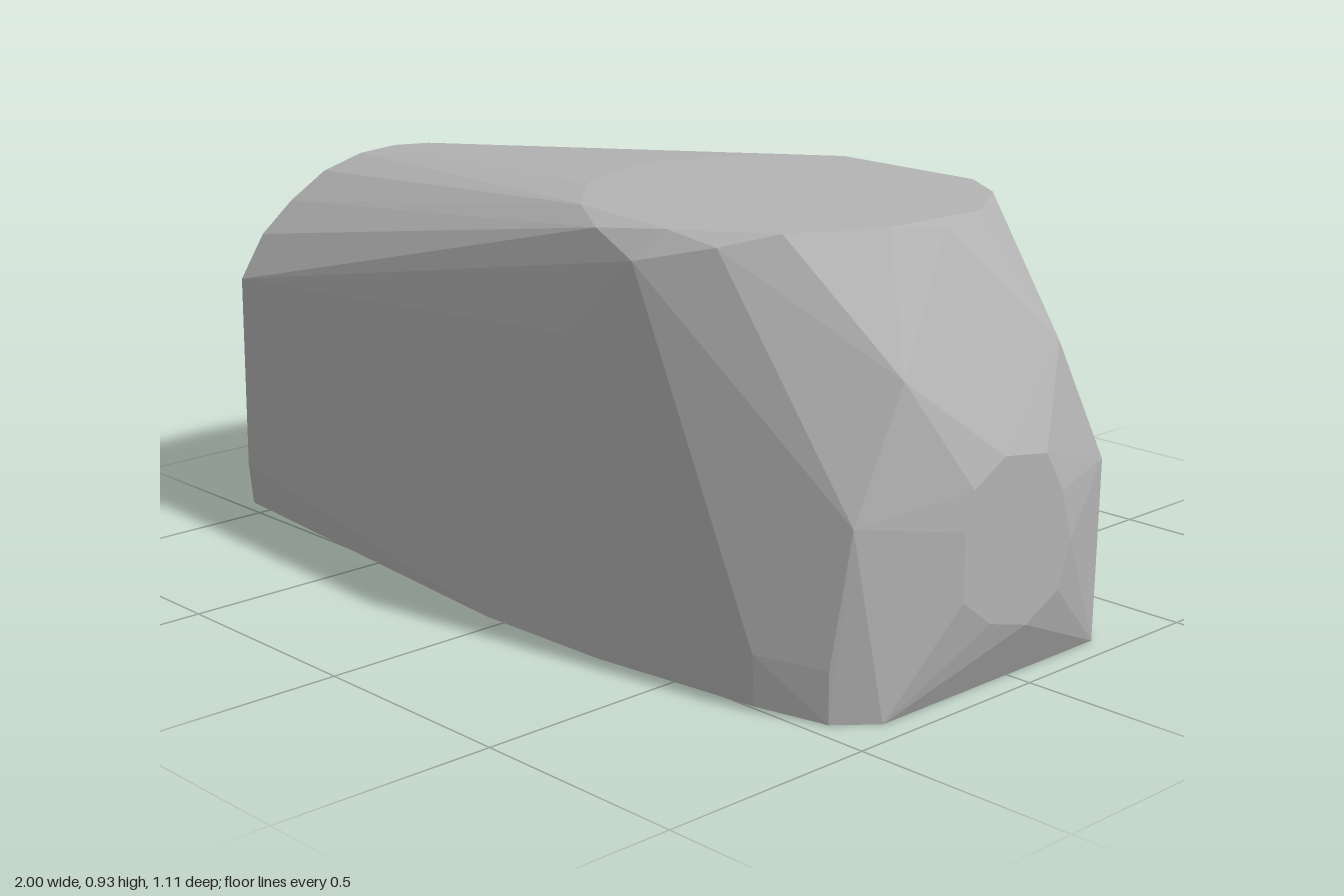
import * as THREE from 'three';
import { ConvexGeometry } from 'three/addons/geometries/ConvexGeometry.js';

// Builds points from [a, b] pairs lying in a plane of constant x
const atX = (x, pairs) => pairs.map(([y, z]) => new THREE.Vector3(x, y, z));
const at = (list) => list.map(([x, y, z]) => new THREE.Vector3(x, y, z));

export function createModel() {
  const group = new THREE.Group();
  group.name = 'facetedBlock';
  const grey = new THREE.MeshStandardMaterial({ color: 0xb4b4b4 });
  grey.name = 'stone grey';

  // Flat end: upright sides under an arch mirrored about z = 0.055
  const flatEnd = atX(-1, [[0.03, -0.41], [0.03, 0.515], [0.13, 0.525], [0.857, 0.055]]);
  for (const [y, half] of [[0.59, 0.465], [0.69, 0.4], [0.76, 0.315], [0.82, 0.215], [0.85, 0.105]]) {
    flatEnd.push(...atX(-1, [[y, 0.055 - half], [y, 0.055 + half]]));
  }

  // Worn oval face on the rounded end
  const roundEnd = atX(1, [
    [0.45, 0.19], [0.5, 0.1], [0.48, -0.03], [0.39, -0.085], [0.28, -0.115],
    [0.18, -0.08], [0.13, 0.02], [0.16, 0.13], [0.225, 0.215], [0.37, 0.215],
  ]);

  // Rim of the level top
  const topRim = at([
    [-0.1, 0.93, 0.05], [0, 0.93, -0.2], [0, 0.93, 0.3], [0.15, 0.929, -0.34], [0.15, 0.926, 0.45],
    [0.41, 0.897, -0.4], [0.52, 0.925, -0.35], [0.65, 0.928, -0.26], [0.76, 0.928, -0.09],
    [0.79, 0.918, 0.05], [0.75, 0.928, 0.17], [0.65, 0.928, 0.37], [0.44, 0.922, 0.48],
    [0.27, 0.905, 0.515], [0.4, 0.86, 0.537], [0.56, 0.9, 0.46],
  ]);

  // Shoulders between the sides and the rounded end
  const shoulders = at([
    [0.2, 0.68, 0.55], [0.9, 0.4, 0.425], [0.72, 0.12, 0.515], [0.87, 0.11, 0.455],
    [0.91, 0.67, 0.3], [0.91, 0.67, -0.17], [0.94, 0.4, -0.29], [0.86, 0.33, -0.34],
  ]);

  // Underside outline, with one low corner jutting out at the back
  const base = at([
    [-0.05, 0, 0.555], [0.3, 0, 0.545], [0.72, 0.01, 0.51], [0.87, 0, 0.455], [0.94, 0, 0.375],
    [0.94, 0, -0.28], [0.86, 0, -0.34], [0.2, 0.037, -0.555], [-0.05, 0, 0.2],
  ]);

  const body = new THREE.Mesh(
    new ConvexGeometry([...flatEnd, ...roundEnd, ...topRim, ...shoulders, ...base]), grey);
  body.name = 'body';
  group.add(body);
  return group;
}
